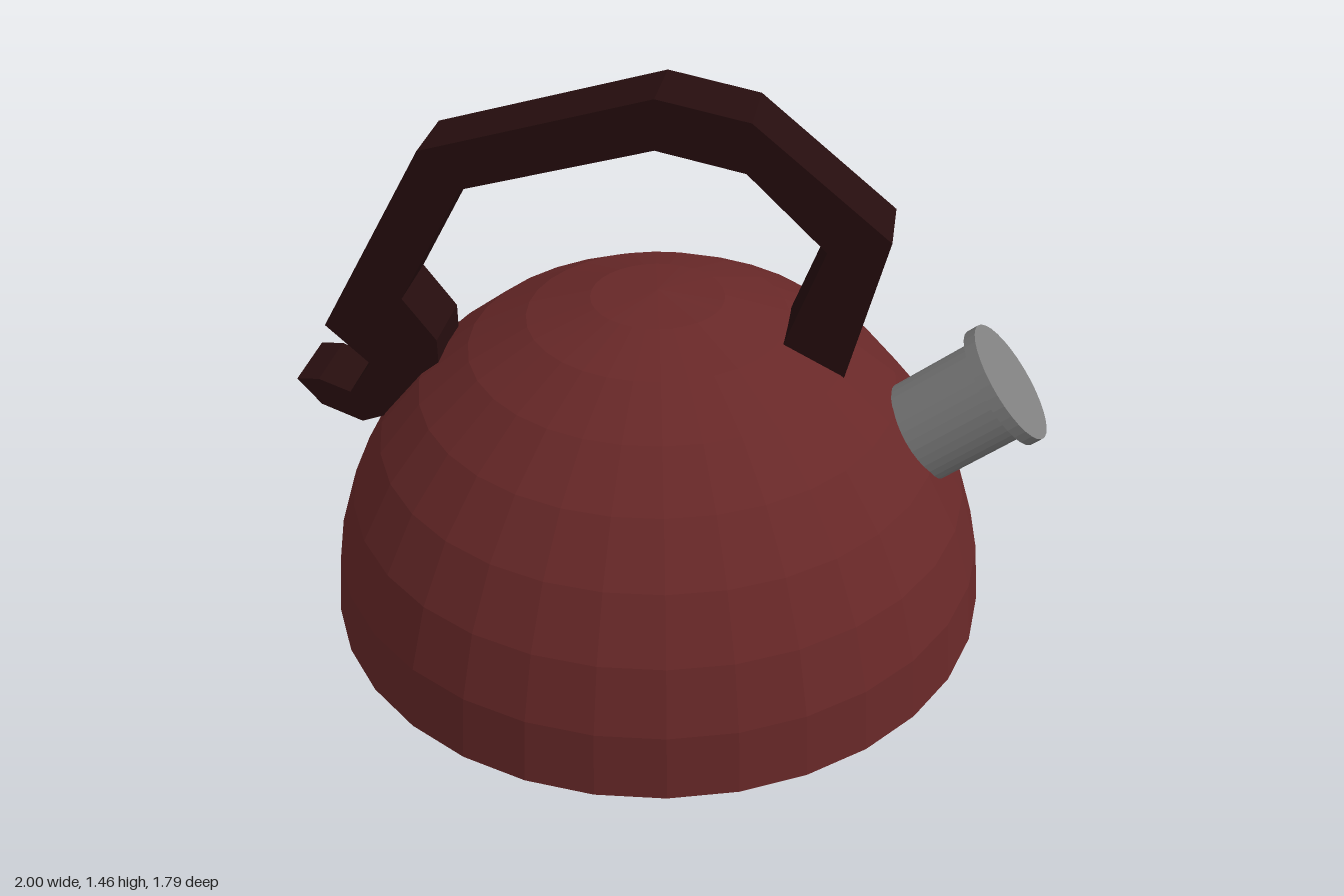
import * as THREE from 'three';

export function createModel() {
  const mat = (name, color) => {
    const m = new THREE.MeshStandardMaterial({ color, flatShading: true });
    m.name = name;
    return m;
  };
  const red = mat('dark red enamel', 0x682828);
  const black = mat('handle brown black', 0x260d0e);
  const grey = mat('grey metal', 0x808080);

  const kettle = new THREE.Group();
  kettle.name = 'kettle';
  const add = (name, geometry, material, parent = kettle) => {
    const mesh = new THREE.Mesh(geometry, material);
    mesh.name = name;
    parent.add(mesh);
    return mesh;
  };

  // Faceted half-sphere body with a flat underside
  const R = 0.897, CX = -0.02;
  add('body', new THREE.SphereGeometry(R, 32, 8, 0, Math.PI * 2, 0, Math.PI / 2), red).position.x = CX;
  const base = add('base', new THREE.CircleGeometry(R, 32), red);
  base.rotation.x = Math.PI / 2;
  base.position.x = CX;

  // Handle: one angular outline, both ends sunk into the body
  const outline = [
    [-0.90, 0.76], [-0.785, 0.652], [-0.85, 0.556], [-0.936, 0.588], [-0.998, 0.583],
    [-0.936, 0.508], [-0.824, 0.465], [-0.754, 0.492], [-0.65, 0.54], [-0.594, 0.66],
    [-0.594, 0.743], [-0.68, 0.86], [-0.503, 1.187], [-0.01, 1.33], [0.214, 1.286],
    [0.417, 1.09], [0.30, 0.77], [0.46, 0.67], [0.572, 1.13], [0.224, 1.417],
    [-0.01, 1.462], [-0.606, 1.284],
  ];
  const shape = new THREE.Shape(outline.map(([x, y]) => new THREE.Vector2(x, y)));
  const width = 0.194;
  const handle = new THREE.ExtrudeGeometry(shape, { depth: width, bevelEnabled: false });
  handle.translate(0, 0, -width / 2);
  add('handle', handle, black);

  // Slanted spout; local +y runs out along its axis, origin at the cap's outer face
  const spout = new THREE.Group();
  spout.name = 'spout';
  spout.position.set(0.898, 0.714, 0);
  spout.rotation.z = -Math.atan2(0.778, 0.629);
  kettle.add(spout);
  add('spoutTube', new THREE.CylinderGeometry(0.137, 0.137, 0.40, 32), grey, spout).position.y = -0.225;
  add('spoutCap', new THREE.CylinderGeometry(0.166, 0.166, 0.033, 32), grey, spout).position.y = -0.0165;

  return kettle;
}
